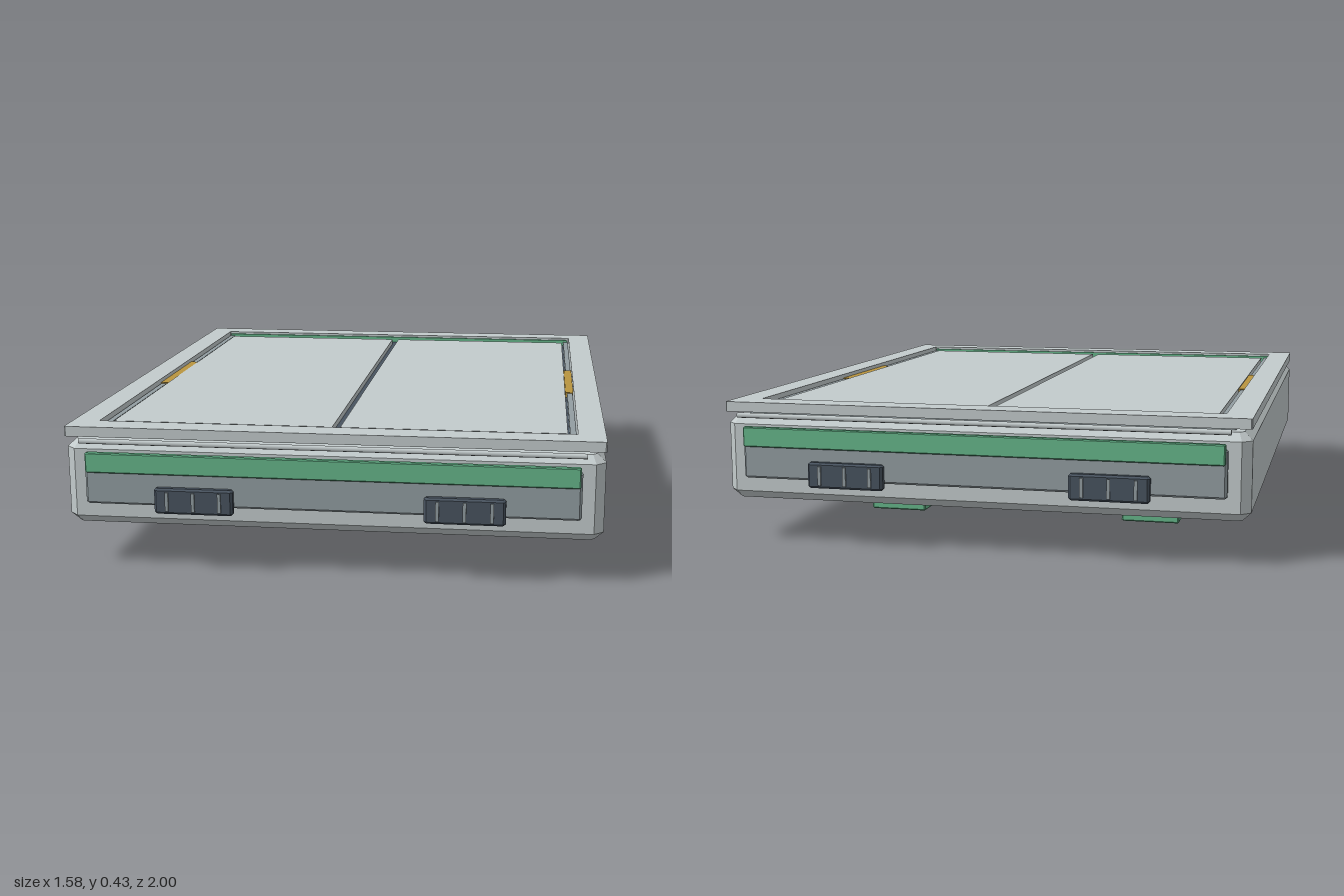
import * as THREE from 'three';

const mat = (name, color) => {
  const m = new THREE.MeshStandardMaterial({ color });
  m.name = name;
  return m;
};

// Rectangle with cut corners
function cutRect(w, d, c, Type = THREE.Shape) {
  const x = w / 2, z = d / 2;
  return new Type([
    [x - c, -z], [x, -z + c], [x, z - c], [x - c, z],
    [-x + c, z], [-x, z - c], [-x, -z + c], [-x + c, -z],
  ].map(([a, b]) => new THREE.Vector2(a, b)));
}

// Box with every edge chamfered by b
function chamferBox(w, h, d, b) {
  const g = new THREE.ExtrudeGeometry(cutRect(w - 2 * b, d - 2 * b, b * 0.6), {
    depth: h - 2 * b, bevelEnabled: true, bevelSize: b, bevelThickness: b, bevelSegments: 1,
  });
  g.rotateX(-Math.PI / 2);
  g.translate(0, b - h / 2, 0);
  return g;
}

// Flat rectangular ring standing on y = 0
function ring(w, d, holeW, holeD, h) {
  const s = cutRect(w, d, 0.004);
  s.holes.push(cutRect(holeW, holeD, 0.002, THREE.Path));
  const g = new THREE.ExtrudeGeometry(s, { depth: h, bevelEnabled: false });
  return g.rotateX(-Math.PI / 2);
}

export function createModel() {
  const shell = mat('light grey shell', 0xc3cbcc);
  const grey = mat('mid grey', 0x929da1);
  const slate = mat('dark slate', 0x48535f);
  const green = mat('green', 0x65b58a);
  const amber = mat('amber', 0xb9953f);

  const model = new THREE.Group();
  const add = (name, geo, m, x = 0, y = 0, z = 0, parent = model) => {
    const mesh = new THREE.Mesh(geo, m);
    mesh.name = name;
    mesh.position.set(x, y, z);
    parent.add(mesh);
    return mesh;
  };
  // Box given by its lower and upper limits on each axis
  const box = (name, m, [x0, x1], [y0, y1], [z0, z1], b = 0, parent = model) => {
    const s = [x1 - x0, y1 - y0, z1 - z0];
    const g = b ? chamferBox(...s, b) : new THREE.BoxGeometry(...s);
    return add(name, g, m, (x0 + x1) / 2, (y0 + y1) / 2, (z0 + z1) / 2, parent);
  };

  // Main case, seal and overhanging lid frame
  box('case', shell, [-0.79, 0.79], [0.13, 0.383], [-0.95, 0.95], 0.024);
  add('lidSeal', ring(1.48, 1.78, 1.42, 1.72, 0.02), grey, 0, 0.378, 0);
  add('lidFrame', ring(1.58, 1.9, 1.42, 1.724, 0.03), shell, 0, 0.395, 0);

  // Recess floor with two lid panels separated by a dark gap
  box('recessFloor', slate, [-0.705, 0.705], [0.38, 0.396], [-0.857, 0.857]);
  for (const s of [-1, 1]) {
    const panel = new THREE.BoxGeometry(0.67, 0.028, 1.624);
    add('lidPanel', panel, shell, s * 0.347, 0.4, 0);
    // Side rails with an amber insert in the middle
    for (const e of [-1, 1]) {
      add('sideRail', new THREE.BoxGeometry(0.018, 0.02, 0.65), grey, s * 0.698, 0.4, e * 0.53);
    }
    add('railInsert', new THREE.BoxGeometry(0.026, 0.022, 0.41), amber, s * 0.696, 0.402, 0);
    // Green seal line at each end of the recess
    add('endSeal', new THREE.BoxGeometry(1.41, 0.03, 0.009), green, 0, 0.402, s * 0.8575);
  }

  // Matching fittings on the front and back ends
  for (const turn of [0, Math.PI]) {
    const end = new THREE.Group();
    end.name = turn ? 'backEnd' : 'frontEnd';
    end.rotation.y = turn;
    model.add(end);
    box('endPlate', grey, [-0.725, 0.725], [0.198, 0.338], [0.94, 0.972], 0.006, end);
    box('greenStrip', green, [-0.72, 0.72], [0.295, 0.355], [0.963, 0.984], 0.003, end);
    const bar = new THREE.CylinderGeometry(0.008, 0.008, 1.47, 8).rotateZ(Math.PI / 2);
    add('hingeBar', bar, shell, 0, 0.39, 0.981, end);
    for (const s of [-1, 1]) {
      const latch = new THREE.Group();
      latch.name = 'latch';
      latch.position.x = s * 0.395;
      end.add(latch);
      box('latchBody', slate, [-0.117, 0.117], [0.18, 0.257], [0.968, 0.995], 0.006, latch);
      for (const x of [-0.078, 0, 0.078]) {
        box('latchRib', grey, [x - 0.005, x + 0.005], [0.19, 0.247], [0.99, 1], 0, latch);
      }
    }
  }

  // Base block with two green runners
  box('base', slate, [-0.553, 0.553], [0.013, 0.13], [-0.415, 0.415], 0.008);
  for (const s of [-1, 1]) {
    add('runner', chamferBox(0.187, 0.025, 0.87, 0.004), green, s * 0.428, 0.0125, 0);
  }
  return model;
}
